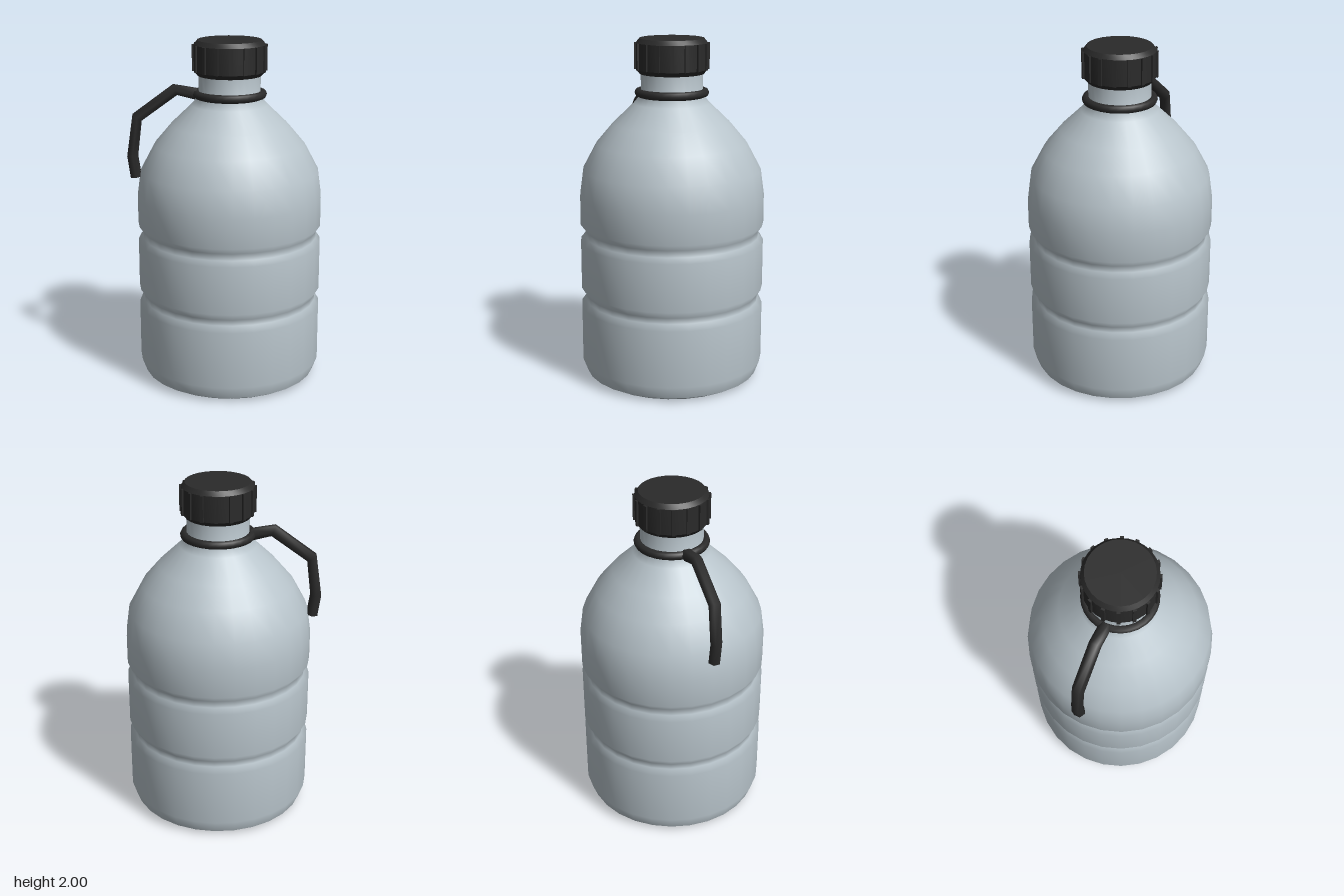
import * as THREE from 'three';
import { toCreasedNormals } from 'three/addons/utils/BufferGeometryUtils.js';

const SIDES = 28;

function lathe(profile) {
  return new THREE.LatheGeometry(profile.map(([r, y]) => new THREE.Vector2(r, y)), SIDES);
}

// Straight-segment path whose parameter visits each point in equal steps
class Polyline extends THREE.Curve {
  constructor(points) {
    super();
    this.points = points;
  }
  getPoint(t, target = new THREE.Vector3()) {
    const n = this.points.length - 1;
    const i = Math.min(Math.floor(t * n + 1e-9), n - 1);
    return target.lerpVectors(this.points[i], this.points[i + 1], t * n - i);
  }
  getUtoTmapping(u) {
    return u;
  }
}

export function createModel() {
  const model = new THREE.Group();
  model.name = 'bottle';

  const plastic = new THREE.MeshStandardMaterial({ color: 0xb8c4cb });
  plastic.name = 'pale grey plastic';
  const black = new THREE.MeshStandardMaterial({ color: 0x2a2a2a });
  black.name = 'black plastic';

  const add = (parent, name, geometry, material) => {
    const mesh = new THREE.Mesh(geometry, material);
    mesh.name = name;
    parent.add(mesh);
    return mesh;
  };

  // Everything but the handle turns around this off-centre axis
  const turned = new THREE.Group();
  turned.name = 'turnedParts';
  turned.position.x = 0.027;
  model.add(turned);

  // Body with two grip grooves, round shoulder and neck
  add(turned, 'body', lathe([
    [0.51, 0.025], [0.538, 0.1], [0.538, 0.435],
    [0.512, 0.47], [0.512, 0.505], [0.538, 0.545], [0.538, 0.825],
    [0.512, 0.855], [0.512, 0.895], [0.538, 0.93], [0.538, 1.1],
    [0.517, 1.25], [0.437, 1.4], [0.34, 1.515], [0.22, 1.63],
    [0.178, 1.68], [0.178, 1.82],
  ]), plastic);

  // Bevelled underside
  add(turned, 'base', toCreasedNormals(lathe([[0, 0], [0.465, 0], [0.51, 0.025]]), 0.8), plastic);

  // Screw cap with grip ribs
  const cap = new THREE.Group();
  cap.name = 'cap';
  turned.add(cap);
  add(cap, 'capShell', toCreasedNormals(lathe([
    [0, 1.8], [0.185, 1.8], [0.205, 1.825], [0.205, 1.975], [0.185, 2], [0, 2],
  ]), 0.5), black);
  const ribGeometry = new THREE.BoxGeometry(0.02, 0.15, 0.03);
  for (let i = 0; i < 16; i++) {
    const a = (i / 16) * Math.PI * 2;
    const rib = add(cap, 'capRib', ribGeometry, black);
    rib.position.set(Math.sin(a) * 0.2, 1.9, Math.cos(a) * 0.2);
    rib.rotation.y = a;
  }

  // Collar ring around the neck
  const ring = add(turned, 'neckRing', new THREE.TorusGeometry(0.19, 0.024, 8, SIDES), black);
  ring.rotation.x = Math.PI / 2;
  ring.position.y = 1.692;

  // Bent strap handle with closed ends
  const handle = new THREE.Group();
  handle.name = 'handle';
  model.add(handle);
  const path = new Polyline([
    [-0.165, 1.692], [-0.285, 1.717], [-0.505, 1.557], [-0.535, 1.33], [-0.517, 1.205],
  ].map(([x, y]) => new THREE.Vector3(x, y, 0)));
  add(handle, 'handleStrap', new THREE.TubeGeometry(path, 4, 0.036, 6), black);
  for (const t of [0, 1]) {
    const end = add(handle, 'handleEnd', new THREE.CircleGeometry(0.036, 6, Math.PI / 2), black);
    const p = path.getPoint(t);
    end.position.copy(p);
    end.lookAt(p.clone().addScaledVector(path.getTangent(t), t ? 1 : -1));
  }

  return model;
}
